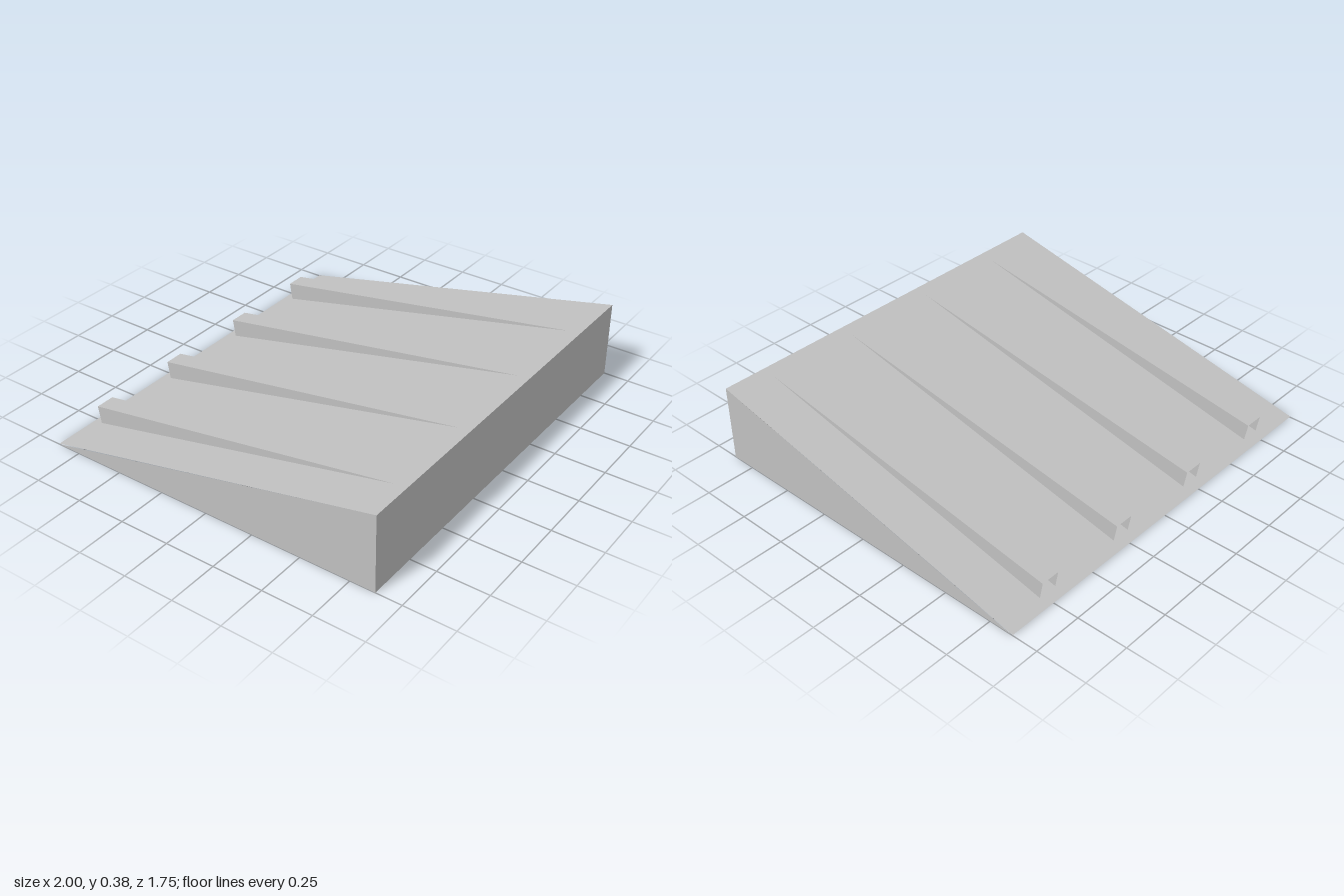
import * as THREE from 'three';

const W = 1, D = 0.873, H = 0.385;

// flat sheet from a loop of corners
function sheet(corners, material, name) {
  const g = new THREE.BufferGeometry();
  g.setAttribute('position', new THREE.Float32BufferAttribute(corners.flat(), 3));
  const index = [];
  for (let i = 1; i < corners.length - 1; i++) index.push(0, i, i + 1);
  g.setIndex(index);
  g.computeVertexNormals();
  const mesh = new THREE.Mesh(g, material);
  mesh.name = name;
  return mesh;
}

export function createModel() {
  const grey = new THREE.MeshStandardMaterial({ color: 0xc0c0c0, side: THREE.DoubleSide });
  grey.name = 'light grey';
  const model = new THREE.Group();
  model.name = 'ramp';

  // open-bottomed wedge: sloping deck, tall front wall, triangular sides
  model.add(sheet([[-W, H, D], [W, H, D], [W, 0.004, -D], [-W, 0.004, -D]], grey, 'deck'));
  model.add(sheet([[-W, 0, D], [W, 0, D], [W, H, D], [-W, H, D]], grey, 'frontWall'));
  model.add(sheet([[W, 0, D], [W, 0, -D], [W, H, D]], grey, 'leftWall'));
  model.add(sheet([[-W, 0, -D], [-W, 0, D], [-W, H, D]], grey, 'rightWall'));

  // hollow rails, shallower than the deck so they pass through it
  const section = [[0.84, 0.376], [-0.835, 0.102], [-0.82, 0.012], [0.855, 0.286]]; // z, y
  const [tf, tb, bb, bf] = section;
  for (const x of [-0.73, -0.25, 0.25, 0.73]) {
    const rail = new THREE.Group();
    rail.name = 'rail';
    const l = x + 0.048, r = x - 0.048;
    const at = (px, [z, y]) => [px, y, z];
    rail.add(sheet([at(r, tf), at(l, tf), at(l, tb), at(r, tb)], grey, 'railTop'));
    rail.add(sheet([at(r, bb), at(l, bb), at(l, bf), at(r, bf)], grey, 'railBottom'));
    rail.add(sheet([at(l, tf), at(l, bf), at(l, bb), at(l, tb)], grey, 'railLeftSide'));
    rail.add(sheet([at(r, tb), at(r, bb), at(r, bf), at(r, tf)], grey, 'railRightSide'));
    model.add(rail);
  }
  return model;
}
